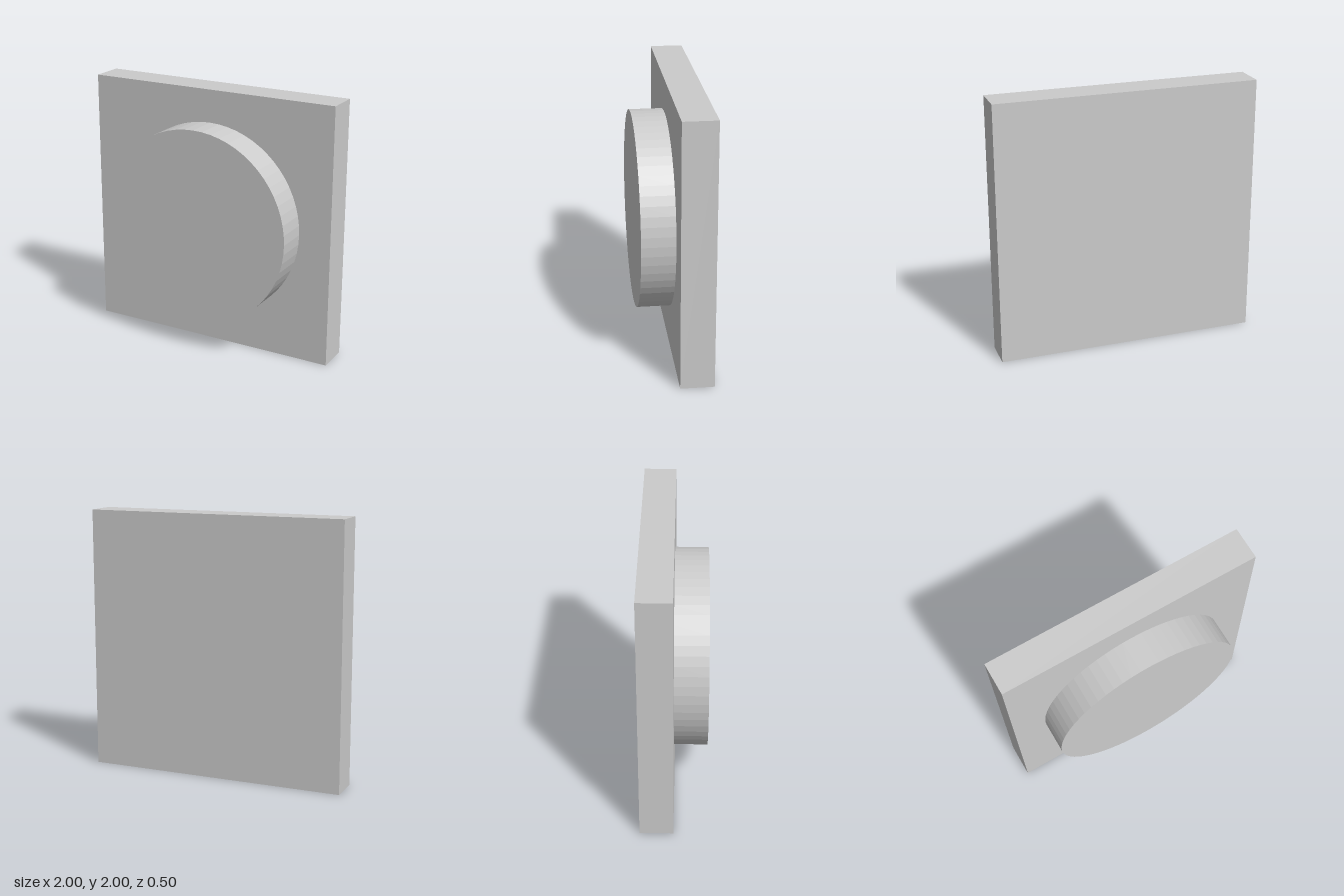
import * as THREE from 'three';

const SIZE = 2;
const DEPTH = 0.25;
const RADIUS = 0.75;

export function createModel() {
  const group = new THREE.Group();
  group.name = 'plateWithBoss';
  const material = new THREE.MeshStandardMaterial({ color: 0xcccccc, flatShading: true });

  // Square backing plate, standing upright behind z = 0
  const plate = new THREE.Mesh(new THREE.BoxGeometry(SIZE, SIZE, DEPTH), material);
  plate.name = 'backPlate';
  plate.position.set(0, SIZE / 2, -DEPTH / 2);

  // Round boss on the front of the plate, its axis along z
  const bossGeometry = new THREE.CylinderGeometry(RADIUS, RADIUS, DEPTH, 64);
  bossGeometry.rotateX(Math.PI / 2);
  const boss = new THREE.Mesh(bossGeometry, material);
  boss.name = 'roundBoss';
  boss.position.set(0, SIZE / 2, DEPTH / 2);

  group.add(plate, boss);
  return group;
}
